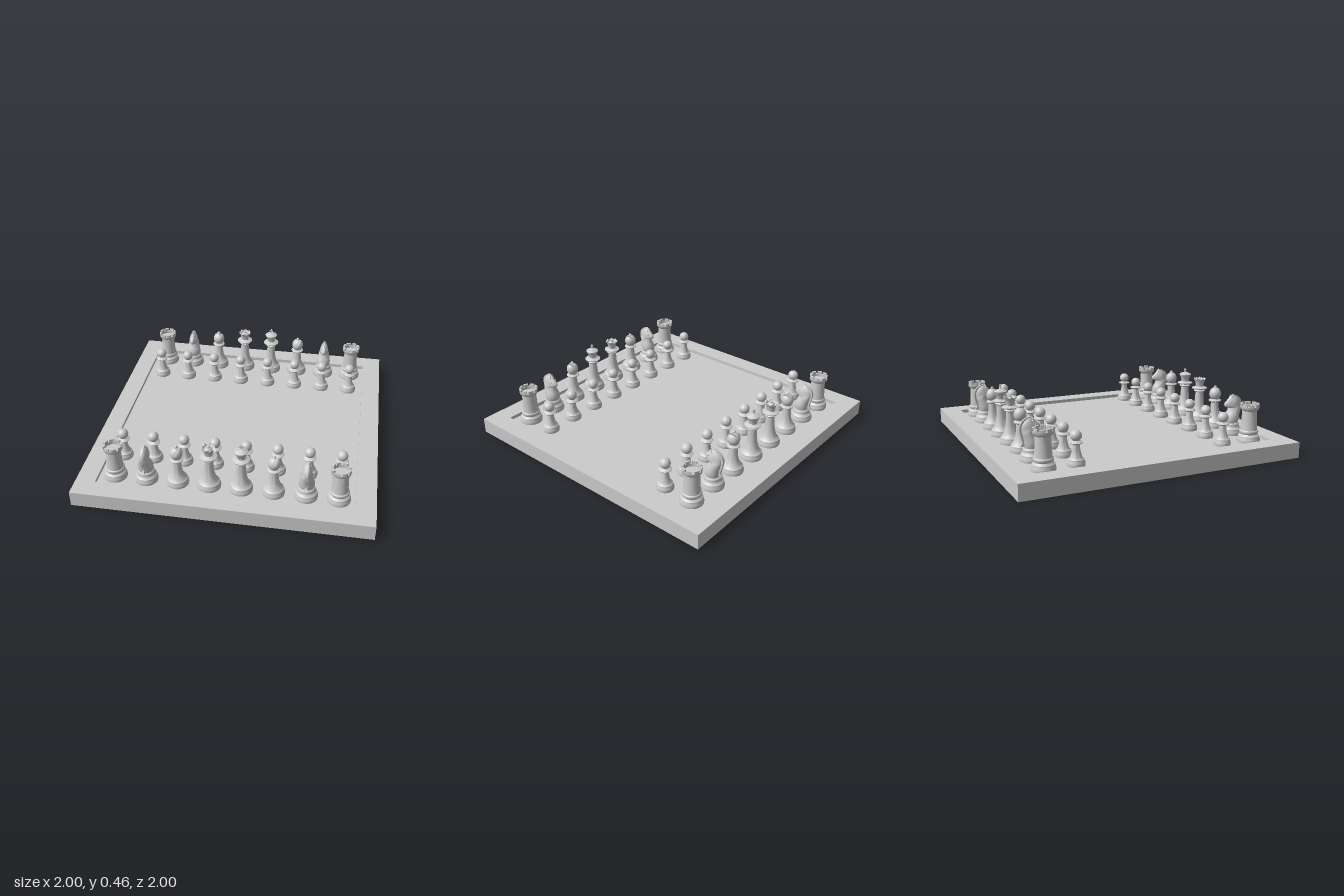
import * as THREE from 'three';
import { toCreasedNormals } from 'three/addons/utils/BufferGeometryUtils.js';

const grey = new THREE.MeshStandardMaterial({ color: 0xcccccc });
const thin = new THREE.MeshStandardMaterial({ color: 0xcccccc, side: THREE.DoubleSide });
const FLOOR = 0.085, RIM = 0.11, INNER = 0.865, FILE = 0.2157;

const part = (name, geometry, material = grey) => {
  const mesh = new THREE.Mesh(geometry, material);
  mesh.name = name;
  return mesh;
};

// Turned shape from [radius, y] pairs, bottom to top
const turned = (points, segments = 32) =>
  toCreasedNormals(new THREE.LatheGeometry(points.map(p => new THREE.Vector2(...p)), segments), 0.75);

const ball = (r, y) => new THREE.SphereGeometry(r, 24, 16).translate(0, y, 0);

// Wide moulded foot shared by the tall pieces
const foot = r => [
  [0, FLOOR], [r, FLOOR], [r * 1.02, 0.095], [r, 0.108], [r * 0.94, 0.118], [r * 0.93, 0.128],
  [r * 0.84, 0.134], [r * 0.76, 0.142]];

function pawn() {
  return [
    part('body', turned([
      [0, FLOOR], [0.057, FLOOR], [0.059, 0.095], [0.057, 0.112], [0.052, 0.12], [0.052, 0.128], [0.043, 0.134],
      [0.038, 0.145], [0.031, 0.165], [0.026, 0.19], [0.023, 0.222], [0.03, 0.226], [0.043, 0.231],
      [0.045, 0.236], [0.04, 0.24], [0.024, 0.245], [0.018, 0.255]])),
    part('head', ball(0.037, 0.278))];
}

function rook() {
  const parts = [part('tower', turned([
    ...foot(0.078), [0.064, 0.15], [0.066, 0.158], [0.064, 0.166], [0.058, 0.17], [0.055, 0.2], [0.052, 0.25],
    [0.05, 0.305], [0.056, 0.31], [0.064, 0.318], [0.065, 0.336], [0.051, 0.336], [0.051, 0.316], [0, 0.316]]))];
  // Battlements
  const count = 8, half = Math.PI / count * 0.72;
  const arc = new THREE.Shape();
  arc.absarc(0, 0, 0.065, -half, half, false);
  arc.absarc(0, 0, 0.051, half, -half, true);
  const merlon = new THREE.ExtrudeGeometry(arc, { depth: 0.02, bevelEnabled: false, curveSegments: 6 })
    .rotateX(-Math.PI / 2).translate(0, 0.334, 0);
  for (let i = 0; i < count; i++) {
    const m = part('battlement', merlon);
    m.rotation.y = (i + 0.5) * Math.PI * 2 / count;
    parts.push(m);
  }
  return parts;
}

function knight() {
  // Slices of the horse: y, back z, front z, half width
  const slices = [
    [0.165, -0.046, 0.046, 0.046], [0.185, -0.05, 0.052, 0.053], [0.21, -0.053, 0.052, 0.053], [0.235, -0.056, 0.042, 0.048],
    [0.26, -0.063, 0.03, 0.042], [0.278, -0.067, 0.026, 0.038], [0.286, -0.068, 0.054, 0.035], [0.3, -0.069, 0.063, 0.033],
    [0.314, -0.067, 0.06, 0.031], [0.33, -0.06, 0.044, 0.027], [0.345, -0.048, 0.028, 0.021], [0.36, -0.03, 0.016, 0.013],
    [0.37, -0.014, 0.006, 0.005]];
  const N = 24, pos = [], idx = [];
  slices.forEach(([y, back, front, w]) => {
    for (let i = 0; i < N; i++) {
      const a = i / N * Math.PI * 2, c = Math.cos(a);
      const taper = y > 0.24 ? 1 - 0.3 * Math.max(0, c) : 1;
      pos.push(Math.sin(a) * w * taper, y, (back + front) / 2 + c * (front - back) / 2);
    }
  });
  for (let j = 0; j < slices.length - 1; j++) for (let i = 0; i < N; i++) {
    const a = j * N + i, b = j * N + (i + 1) % N;
    idx.push(a, b, b + N, a, b + N, a + N);
  }
  pos.push(0, 0.373, -0.004);
  const top = (slices.length - 1) * N;
  for (let i = 0; i < N; i++) idx.push(top + i, top + (i + 1) % N, top + N);
  const horse = new THREE.BufferGeometry();
  horse.setAttribute('position', new THREE.Float32BufferAttribute(pos, 3));
  horse.setIndex(idx);

  // Mane ridge, drawn as x = backward, y = up
  const crest = new THREE.Shape();
  crest.moveTo(0.0, 0.374);
  crest.bezierCurveTo(0.05, 0.37, 0.08, 0.335, 0.08, 0.3);
  crest.bezierCurveTo(0.08, 0.26, 0.06, 0.23, 0.062, 0.205);
  crest.lineTo(0.078, 0.182);
  crest.lineTo(0.04, 0.185);
  crest.lineTo(0.03, 0.3);
  const mane = new THREE.ExtrudeGeometry(crest, { depth: 0.016, bevelEnabled: false, curveSegments: 12 })
    .translate(0, 0, -0.008).rotateY(Math.PI / 2);

  const parts = [
    part('foot', turned([...foot(0.078), [0.056, 0.15], [0.058, 0.158], [0.056, 0.166], [0.048, 0.172], [0, 0.172]])),
    part('horse', toCreasedNormals(horse, 0.8)),
    part('mane', mane)];
  for (const s of [-1, 1]) {
    const ear = part('ear', new THREE.ConeGeometry(0.008, 0.032, 10));
    ear.position.set(s * 0.01, 0.36, 0.008);
    ear.rotation.z = s * 0.2;
    const eye = part('eye', new THREE.SphereGeometry(0.006, 10, 8));
    eye.position.set(s * 0.022, 0.322, 0.022);
    parts.push(ear, eye);
  }
  return parts;
}

function bishop() {
  // Head with a wedge-shaped slit and flat slit walls
  const r = 0.043, low = 0.95, high = 1.25;
  const place = g => g.scale(1, 1.12, 1).translate(0, 0.335, 0);
  const head = new THREE.SphereGeometry(r, 32, 20, high - Math.PI, Math.PI * 2 - (high - low)).rotateX(Math.PI / 2);
  const parts = [
    part('body', turned([
      ...foot(0.075), [0.052, 0.15], [0.044, 0.165], [0.036, 0.19], [0.031, 0.225], [0.028, 0.272], [0.034, 0.276],
      [0.045, 0.281], [0.046, 0.287], [0.041, 0.291], [0.03, 0.294], [0.028, 0.305]])),
    part('head', place(head)),
    part('finial', ball(0.011, 0.386))];
  for (const angle of [low, high])
    parts.push(part('slitWall', place(new THREE.CircleGeometry(r, 24, -Math.PI / 2, Math.PI)
      .rotateX(Math.PI / 2).rotateZ(angle)), thin));
  return parts;
}

// Stem and collars shared by queen and king
const royalStem = () => part('body', turned([
  ...foot(0.078), [0.054, 0.15], [0.048, 0.165], [0.04, 0.19], [0.035, 0.22], [0.032, 0.26], [0.03, 0.308],
  [0.039, 0.312], [0.042, 0.317], [0.038, 0.322], [0.034, 0.326], [0.045, 0.33], [0.057, 0.334], [0.058, 0.34],
  [0.05, 0.344], [0.032, 0.348], [0.028, 0.352], [0, 0.352]]));

function queen() {
  // Flared coronet with a toothed rim
  const crown = new THREE.LatheGeometry([[0.028, 0.35], [0.03, 0.37], [0.036, 0.392], [0.045, 0.412], [0.037, 0.412],
    [0.03, 0.395], [0, 0.399]].map(p => new THREE.Vector2(...p)), 48);
  const p = crown.attributes.position;
  for (let i = 0; i < p.count; i++) if (p.getY(i) > 0.41) {
    p.setY(i, 0.409 + 0.005 * Math.cos(8 * Math.atan2(p.getZ(i), p.getX(i))));
  }
  return [
    royalStem(),
    part('crown', toCreasedNormals(crown, 0.75)),
    part('crownDome', new THREE.SphereGeometry(0.024, 24, 12).scale(1, 0.6, 1).translate(0, 0.396, 0)),
    part('finial', ball(0.01, 0.413))];
}

function king() {
  return [
    royalStem(),
    part('crown', turned([[0.028, 0.35], [0.031, 0.37], [0.038, 0.39], [0.046, 0.402], [0.046, 0.407], [0.04, 0.411],
      [0.025, 0.418], [0.012, 0.422], [0.007, 0.426], [0, 0.426]])),
    part('crossUpright', new THREE.BoxGeometry(0.009, 0.034, 0.009).translate(0, 0.438, 0)),
    part('crossBar', new THREE.BoxGeometry(0.027, 0.009, 0.009).translate(0, 0.441, 0))];
}

function board() {
  const square = (path, s) => path.moveTo(-s, -s).lineTo(s, -s).lineTo(s, s).lineTo(-s, s).closePath();
  const outline = square(new THREE.Shape(), 1);
  outline.holes.push(square(new THREE.Path(), INNER));
  const group = new THREE.Group();
  group.name = 'board';
  group.add(
    part('boardFrame', new THREE.ExtrudeGeometry(outline, { depth: RIM, bevelEnabled: false }).rotateX(-Math.PI / 2)),
    part('playingField', new THREE.BoxGeometry(INNER * 2, FLOOR, INNER * 2).translate(0, FLOOR / 2, 0)));
  return group;
}

export function createModel() {
  const model = new THREE.Group();
  model.name = 'chessSet';
  model.add(board());

  const templates = {};
  for (const [name, make] of Object.entries({ pawn, rook, knight, bishop, queen, king })) {
    templates[name] = new THREE.Group();
    templates[name].name = name;
    templates[name].add(...make());
  }
  const order = ['rook', 'knight', 'bishop', 'queen', 'king', 'bishop', 'knight', 'rook'];
  for (const side of [-1, 1]) order.forEach((name, i) => {
    const x = (i - 3.5) * FILE;
    const piece = templates[name].clone();
    piece.position.set(x, 0, side * 0.755);
    // Knights look towards the middle of the board
    if (name === 'knight' && side > 0) piece.rotation.y = Math.PI;
    const soldier = templates.pawn.clone();
    soldier.position.set(x, 0, side * 0.539);
    model.add(piece, soldier);
  });
  return model;
}
